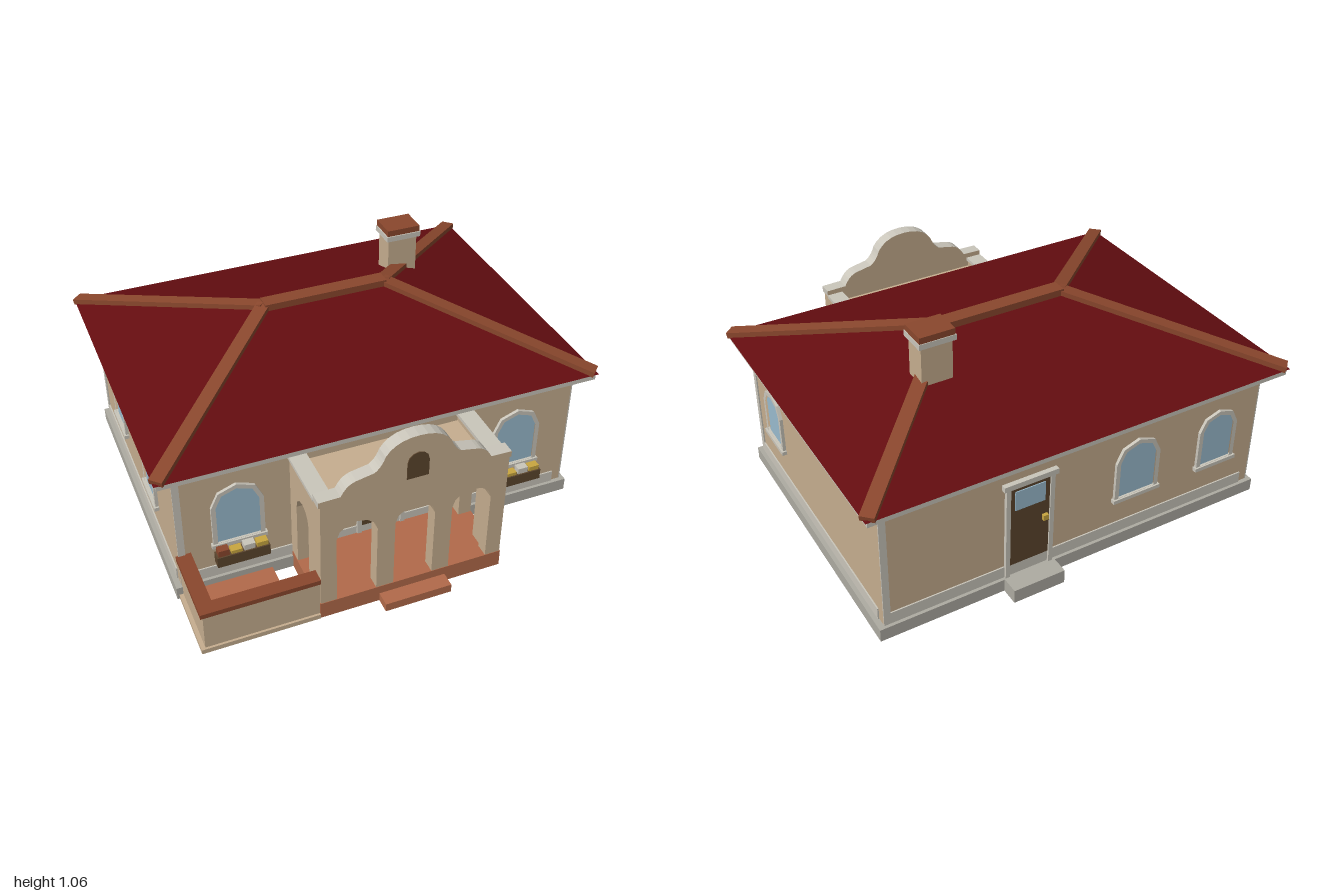
import * as THREE from 'three';
import { ConvexGeometry } from 'three/addons/geometries/ConvexGeometry.js';

const COLORS = {
  stucco: 0xc6ae8f, trim: 0xcac6bb, stone: 0xaeaba2, roofRed: 0x640d10, ridgeTile: 0x8a472d,
  terracotta: 0xb26a4a, glass: 0x9abbce, wood: 0x5c452d, gold: 0xc9a640,
};

export function createModel() {
  const model = new THREE.Group();
  model.name = 'house';
  const mat = {};
  for (const [name, color] of Object.entries(COLORS)) {
    mat[name] = new THREE.MeshStandardMaterial({ color });
    mat[name].name = name;
  }

  const add = (parent, name, geometry, material) => {
    const mesh = new THREE.Mesh(geometry, material);
    mesh.name = name;
    parent.add(mesh);
    return mesh;
  };
  // Box given by its limits on each axis
  const box = (parent, name, material, x0, x1, y0, y1, z0, z1) => {
    const mesh = add(parent, name, new THREE.BoxGeometry(x1 - x0, y1 - y0, z1 - z0), material);
    mesh.position.set((x0 + x1) / 2, (y0 + y1) / 2, (z0 + z1) / 2);
    return mesh;
  };
  const extrude = (shape, depth) => new THREE.ExtrudeGeometry(shape, { depth, bevelEnabled: false });
  // Arched outline running left to right over the top
  const arch = (c, y0, spring, w, h, segs = 4) => {
    const pts = [new THREE.Vector2(c - w, y0)];
    for (let i = 0; i <= segs; i++) {
      const a = Math.PI * (1 - i / segs);
      pts.push(new THREE.Vector2(c + w * Math.cos(a), spring + h * Math.sin(a)));
    }
    pts.push(new THREE.Vector2(c + w, y0));
    return pts;
  };
  // Wall with arched openings that reach its bottom edge
  const archWall = (u0, u1, y0, y1, openings, depth) => {
    const pts = [new THREE.Vector2(u0, y0)];
    for (const [c, spring, w, h] of openings) pts.push(...arch(c, y0, spring, w, h, 6));
    pts.push(new THREE.Vector2(u1, y0), new THREE.Vector2(u1, y1), new THREE.Vector2(u0, y1));
    return extrude(new THREE.Shape(pts), depth);
  };

  // Main body
  box(model, 'foundation', mat.stone, -0.93, 0.93, 0, 0.06, -0.82, 0.51);
  box(model, 'mainWalls', mat.stucco, -0.905, 0.905, 0.06, 0.635, -0.8, 0.49);
  box(model, 'backStep', mat.stone, 0.13, 0.37, 0, 0.065, -0.9, -0.82);

  // One group per wall: local x runs along the wall, local z points outward
  const wall = (name, halfWidth, x, z, angle) => {
    const g = new THREE.Group();
    g.name = name;
    g.position.set(x, 0, z);
    g.rotation.y = angle;
    model.add(g);
    box(g, 'cornerStrip', mat.trim, -halfWidth, -halfWidth + 0.03, 0.06, 0.63, 0, 0.006);
    box(g, 'baseBand', mat.trim, -halfWidth + 0.03, halfWidth - 0.04, 0.06, 0.115, 0, 0.006);
    return g;
  };
  const front = wall('frontWall', 0.905, 0, 0.49, 0);
  const right = wall('rightWall', 0.645, 0.905, -0.155, Math.PI / 2);
  const back = wall('backWall', 0.905, 0, -0.8, Math.PI);
  const left = wall('leftWall', 0.645, -0.905, -0.155, -Math.PI / 2);

  const addWindow = (parent, u, w, h, y0 = 0.25, spring = 0.435) => {
    const g = new THREE.Group();
    g.name = 'window';
    g.position.x = u;
    parent.add(g);
    const frame = new THREE.Shape(arch(0, y0, spring, w, h));
    frame.holes.push(new THREE.Path(arch(0, y0 + 0.004, spring, w - 0.02, h - 0.02)));
    add(g, 'windowFrame', extrude(frame, 0.014), mat.trim);
    const pane = new THREE.Shape(arch(0, y0, spring, w - 0.016, h - 0.016));
    add(g, 'windowPane', extrude(pane, 0.004), mat.glass);
    box(g, 'windowSill', mat.trim, -w - 0.008, w + 0.008, y0 - 0.015, y0 + 0.003, 0, 0.022);
  };
  for (const s of [-1, 1]) {
    addWindow(front, s * 0.642, 0.113, 0.1, 0.24);
    addWindow(front, s * 0.255, 0.105, 0.09);
  }
  addWindow(right, -0.415, 0.096, 0.08, 0.265);
  addWindow(back, 0.275, 0.11, 0.095);
  addWindow(back, 0.695, 0.1, 0.085);
  addWindow(left, -0.275, 0.1, 0.085);
  addWindow(left, 0.255, 0.1, 0.085);

  const addDoor = (parent, u) => {
    const g = new THREE.Group();
    g.name = 'door';
    g.position.x = u;
    parent.add(g);
    box(g, 'doorPanel', mat.wood, -0.092, 0.092, 0.115, 0.52, 0, 0.009);
    box(g, 'doorPane', mat.glass, -0.07, 0.07, 0.4, 0.495, 0.009, 0.013);
    box(g, 'doorKnob', mat.gold, 0.058, 0.082, 0.302, 0.328, 0.009, 0.025);
    for (const s of [-1, 1]) box(g, 'doorJamb', mat.trim, s * 0.102 - 0.01, s * 0.102 + 0.01, 0.06, 0.52, 0, 0.016);
    box(g, 'doorLintel', mat.trim, -0.125, 0.125, 0.52, 0.545, 0, 0.022);
  };
  addDoor(front, 0);
  addDoor(back, -0.25);

  // Flower boxes under the front windows
  for (const c of [-0.642, 0.642]) {
    const g = new THREE.Group();
    g.name = 'flowerBox';
    g.position.x = c;
    front.add(g);
    box(g, 'planter', mat.wood, -0.115, 0.115, 0.158, 0.21, 0.02, 0.066);
    [[mat.ridgeTile, 0.24], [mat.gold, 0.226], [mat.trim, 0.238], [mat.gold, 0.232]].forEach(([m, top], i) => {
      const x = -0.108 + i * 0.056;
      box(g, 'flowers', m, x, x + 0.048, 0.21, top, 0.025, 0.06);
    });
  }

  // Hip roof, eave boards and ridge tiles
  const ridgeX = 0.28, ridgeZ = -0.16, ridgeY = 0.905;
  const roofPoints = [];
  for (const s of [-1, 1]) {
    roofPoints.push(new THREE.Vector3(s * 0.985, 0.68, 0.567), new THREE.Vector3(s * 0.985, 0.68, -0.885),
      new THREE.Vector3(s * ridgeX, ridgeY, ridgeZ));
    box(model, 'sideEaveBoard', mat.trim, s * 0.96 - 0.015, s * 0.96 + 0.015, 0.65, 0.68, -0.875, 0.557);
  }
  add(model, 'roof', new ConvexGeometry(roofPoints), mat.roofRed);
  for (const z of [-0.86, 0.542]) box(model, 'eaveBoard', mat.trim, -0.945, 0.945, 0.65, 0.68, z - 0.015, z + 0.015);
  box(model, 'ridgeCap', mat.ridgeTile, -0.285, 0.285, 0.89, 0.925, ridgeZ - 0.035, ridgeZ + 0.035);
  for (const s of [-1, 1]) for (const z of [0.555, -0.873]) {
    const a = new THREE.Vector3(s * 0.973, 0.688, z), b = new THREE.Vector3(s * ridgeX, 0.908, ridgeZ);
    const hip = add(model, 'hipCap', new THREE.BoxGeometry(0.06, 0.026, a.distanceTo(b)), mat.ridgeTile);
    hip.position.copy(a).lerp(b, 0.5);
    hip.lookAt(b);
  }

  // Chimney
  box(model, 'chimney', mat.stucco, 0.378, 0.517, 0.62, 1.005, -0.42, -0.315);
  box(model, 'chimneyCollar', mat.trim, 0.365, 0.53, 1.005, 1.03, -0.433, -0.302);
  box(model, 'chimneyCap', mat.ridgeTile, 0.37, 0.527, 1.03, 1.058, -0.43, -0.307);

  // Porch
  const porch = new THREE.Group();
  porch.name = 'porch';
  model.add(porch);
  box(porch, 'porchFloor', mat.terracotta, -0.413, 0.413, 0, 0.08, 0.5, 0.832);
  box(porch, 'porchStep', mat.terracotta, -0.15, 0.15, 0, 0.04, 0.832, 0.9);
  const arches = [-0.253, 0, 0.253].map((c) => [c, 0.41, 0.088, 0.072]);
  add(porch, 'porchFront', archWall(-0.41, 0.41, 0.08, 0.6, arches, 0.06), mat.stucco).position.z = 0.77;
  for (const x of [0.41, -0.35]) {
    const side = add(porch, 'porchSide', archWall(0.49, 0.77, 0.08, 0.59, [[0.63, 0.385, 0.068, 0.07]], 0.06), mat.stucco);
    side.rotation.y = -Math.PI / 2;
    side.position.x = x;
    const c = x - 0.03;
    box(porch, 'porchSideCap', mat.trim, c - 0.038, c + 0.038, 0.59, 0.606, 0.49, 0.77);
  }
  box(porch, 'porchRoof', mat.stucco, -0.35, 0.35, 0.53, 0.56, 0.49, 0.77);

  // Curved parapet, light along its edge
  const half = new THREE.Path();
  half.moveTo(-0.418, 0.6);
  half.lineTo(-0.418, 0.628);
  half.lineTo(-0.325, 0.63);
  half.quadraticCurveTo(-0.3, 0.682, -0.26, 0.69);
  half.lineTo(-0.185, 0.705);
  half.quadraticCurveTo(-0.155, 0.725, -0.14, 0.77);
  half.quadraticCurveTo(-0.1, 0.835, 0, 0.835);
  const leftPts = half.getPoints(5);
  const rightPts = leftPts.slice(0, -1).reverse().map((p) => new THREE.Vector2(-p.x, p.y));
  const parapet = new THREE.Shape([...leftPts, ...rightPts]);
  add(porch, 'parapet', extrude(parapet, 0.06), [mat.stucco, mat.trim]).position.z = 0.77;
  const niche = new THREE.Shape(arch(0, 0.63, 0.708, 0.047, 0.047, 6));
  add(porch, 'parapetNiche', extrude(niche, 0.004), mat.wood).position.z = 0.83;

  // Walled terrace beside the porch
  const terrace = new THREE.Group();
  terrace.name = 'terrace';
  model.add(terrace);
  box(terrace, 'terraceFloor', mat.terracotta, -0.85, -0.508, 0, 0.03, 0.505, 0.757);
  box(terrace, 'terracePlinth', mat.stucco, -0.92, -0.413, 0, 0.022, 0.78, 0.835);
  box(terrace, 'terracePlinthSide', mat.stucco, -0.92, -0.855, 0, 0.022, 0.51, 0.78);
  box(terrace, 'terraceFrontWall', mat.stucco, -0.903, -0.41, 0.022, 0.2, 0.785, 0.825);
  box(terrace, 'terraceSideWall', mat.stucco, -0.903, -0.863, 0.022, 0.2, 0.49, 0.785);
  box(terrace, 'terraceFrontCap', mat.ridgeTile, -0.915, -0.412, 0.2, 0.222, 0.775, 0.838);
  box(terrace, 'terraceSideCap', mat.ridgeTile, -0.915, -0.85, 0.2, 0.222, 0.49, 0.775);
  return model;
}
